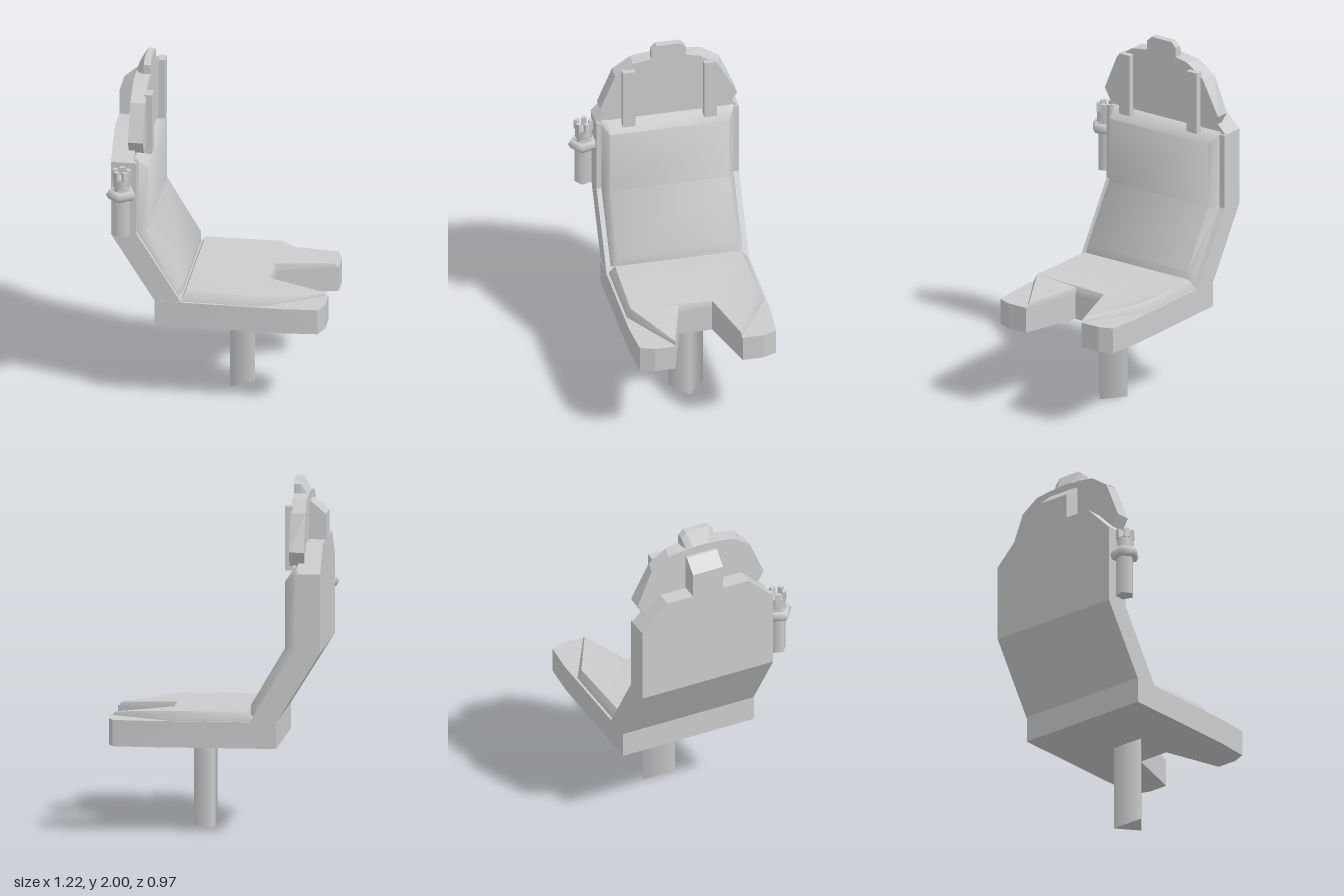
import * as THREE from 'three';
import { toCreasedNormals } from 'three/addons/utils/BufferGeometryUtils.js';

const material = new THREE.MeshStandardMaterial({ color: 0xcccccc });
const Z0 = -0.49, Z1 = 0.335, ZC = -0.075; // side planes and middle of the seat

// Closed solid through equal-length loops of [x,y,z]; caps are triangulated in the plane of axes (i, j).
function loft(loops, i, j, crease = 0.2) {
  const n = loops[0].length, pos = loops.flat(2), tris = [];
  const flat = (loop) => loop.map((p) => new THREE.Vector2(p[i], p[j]));
  const sign = Math.sign(THREE.ShapeUtils.area(flat(loops[0])));
  loops.slice(1).forEach((_, r) => {
    for (let k = 0; k < n; k++) {
      const a = r * n + k, b = r * n + (k + 1) % n;
      tris.push([a, b, b + n], [a, b + n, a + n]);
    }
  });
  const cap = (r, dir) => {
    const pts = flat(loops[r]);
    for (const [a, b, c] of THREE.ShapeUtils.triangulateShape(pts, [])) {
      const same = THREE.ShapeUtils.area([pts[a], pts[b], pts[c]]) * sign * dir > 0;
      tris.push((same ? [a, b, c] : [a, c, b]).map((v) => v + r * n));
    }
  };
  cap(0, -1);
  cap(loops.length - 1, 1);
  // Turn the solid outward if its volume comes out negative
  const V = (k) => new THREE.Vector3().fromArray(pos, k * 3);
  const volume = tris.reduce((s, [a, b, c]) => s + V(a).dot(V(b).cross(V(c))), 0);
  const geo = new THREE.BufferGeometry();
  geo.setAttribute('position', new THREE.Float32BufferAttribute(pos, 3));
  geo.setIndex(tris.flatMap(([a, b, c]) => (volume < 0 ? [a, c, b] : [a, b, c])));
  return toCreasedNormals(geo, crease);
}

// Mirror half an outline of [a, z-offset] pairs about the seat's middle
const mirrorZ = (half) => [
  ...half.map(([a, d]) => [a, ZC + d]),
  ...half.slice().reverse().map(([a, d]) => [a, ZC - d]),
];

export function createModel() {
  const model = new THREE.Group();
  const add = (name, geo, x = 0, y = 0, z = 0, parent = model) => {
    const mesh = new THREE.Mesh(geo, material);
    mesh.name = name;
    mesh.position.set(x, y, z);
    parent.add(mesh);
    return mesh;
  };

  // Seat base with a notch between two thigh supports
  const seat = mirrorZ([[-0.35, 0.412], [0.38, 0.412], [0.58, 0.395], [0.61, 0.315], [0.61, 0.195], [0.27, 0.095]]);
  add('seatBase', loft([0.5, 0.65].map((y) => seat.map(([x, z]) => [x, y, z])), 0, 2));

  // Seat cushion: low rim, bevelled top that thins towards the tips
  const rim = mirrorZ([[-0.2, 0.397], [0.26, 0.397], [0.6, 0.192], [0.27, 0.095]]);
  const top = mirrorZ([[-0.18, 0.365], [0.255, 0.375], [0.585, 0.192], [0.262, 0.097]]);
  const topY = [0.703, 0.703, 0.67, 0.69, 0.69, 0.67, 0.703, 0.703];
  add('seatCushion', loft([
    rim.map(([x, z]) => [x, 0.645, z]),
    rim.map(([x, z]) => [x, 0.656, z]),
    top.map(([x, z], k) => [x, topY[k], z]),
  ], 0, 2, 0.8));

  // Cranked backrest shell
  const shell = [[-0.35, 0.65], [-0.2, 0.65], [-0.455, 1.06], [-0.455, 1.5], [-0.6, 1.5], [-0.6, 1.05]];
  add('backrest', loft([Z0, Z1].map((z) => shell.map(([x, y]) => [x, y, z])), 0, 1));

  // Chamfered shoulders and the raised block behind the headrest
  const shoulder = mirrorZ([[1.5, 0.412], [1.655, 0.255]]);
  add('shoulders', loft([-0.6, -0.47].map((x) => shoulder.map(([y, z]) => [x, y, z])), 1, 2));
  const block = [[-0.6, 1.65], [-0.6, 1.8], [-0.52, 1.87], [-0.48, 1.87], [-0.48, 1.65]];
  add('headrestBracket', loft([-0.17, 0.02].map((z) => block.map(([x, y]) => [x, y, z])), 0, 1));

  // Back cushion: front profile swells away from the shell between thin side edges
  const under = [[-0.455, 1.51], [-0.455, 1.5], [-0.455, 1.06], [-0.24, 0.715], [-0.22, 0.68]];
  const swell = [[-0.452, 1.51], [-0.395, 1.45], [-0.395, 1.07], [-0.2, 0.74], [-0.2, 0.685]];
  const padLoops = [[-0.457, 0.15], [-0.42, 1], [0.27, 1], [0.307, 0.15]].map(([z, t]) => [
    ...swell.map(([x, y], k) => [
      THREE.MathUtils.lerp(under[k][0], x, t), THREE.MathUtils.lerp(under[k][1], y, t), z]),
    [-0.24, 0.68, z], [-0.475, 1.06, z], [-0.475, 1.51, z],
  ]);
  add('backCushion', loft(padLoops, 0, 1, 1.0));

  // Headrest plate, a little wider at the rear on one side
  const plate = mirrorZ([[1.54, 0.35], [1.62, 0.397], [1.83, 0.31], [1.9, 0.205], [1.915, 0.1]]);
  add('headrest', loft([-0.505, -0.42].map((x, r) => plate.map(([y, z]) =>
    [x, y, r && z < -0.2 && y > 1.63 ? z + 0.025 : z])), 1, 2));

  // Knob on the headrest with a sloping rear
  const knob = (x, peak, w) => mirrorZ([[1.87, w], [peak - 0.03, w], [peak, w - 0.03]]).map(([y, z]) => [x, y, z]);
  add('headrestKnob', loft([knob(-0.505, 1.92, 0.08), knob(-0.46, 2, 0.1), knob(-0.42, 2, 0.1)], 1, 2));

  // Pair of upright straps in front of the headrest
  for (const side of [-1, 1]) {
    add('headrestStrap', new THREE.BoxGeometry(0.045, 0.365, 0.073), -0.4075, 1.6825, ZC + side * 0.236);
  }

  // Three-sided pedestal
  const post = new THREE.CylinderGeometry(0.1155, 0.1155, 0.5, 3, 1, false, Math.PI / 2);
  post.scale(0.72, 1, 1);
  add('pedestal', post, 0.077, 0.25, -0.07);

  // Five-sided side handle with collar and notched crown
  const handle = new THREE.Group();
  handle.name = 'sideHandle';
  handle.position.set(-0.53, 0, 0.395);
  model.add(handle);
  add('handleStem', new THREE.CylinderGeometry(0.052, 0.052, 0.29, 5), 0, 1.225, 0, handle);
  const collar = new THREE.TorusGeometry(0.058, 0.031, 6, 5);
  collar.rotateX(Math.PI / 2);
  collar.rotateY(-Math.PI / 2);
  add('handleCollar', collar, 0, 1.335, 0, handle);
  add('handleNeck', new THREE.CylinderGeometry(0.05, 0.05, 0.08, 5, 1, false, Math.PI), 0, 1.395, 0, handle);
  for (let k = 0; k < 5; k++) {
    const a = Math.PI + k * Math.PI * 0.4;
    const tooth = add('crownTooth', new THREE.BoxGeometry(0.03, 0.055, 0.022),
      0.041 * Math.sin(a), 1.4525, 0.041 * Math.cos(a), handle);
    tooth.rotation.y = a;
  }
  return model;
}
